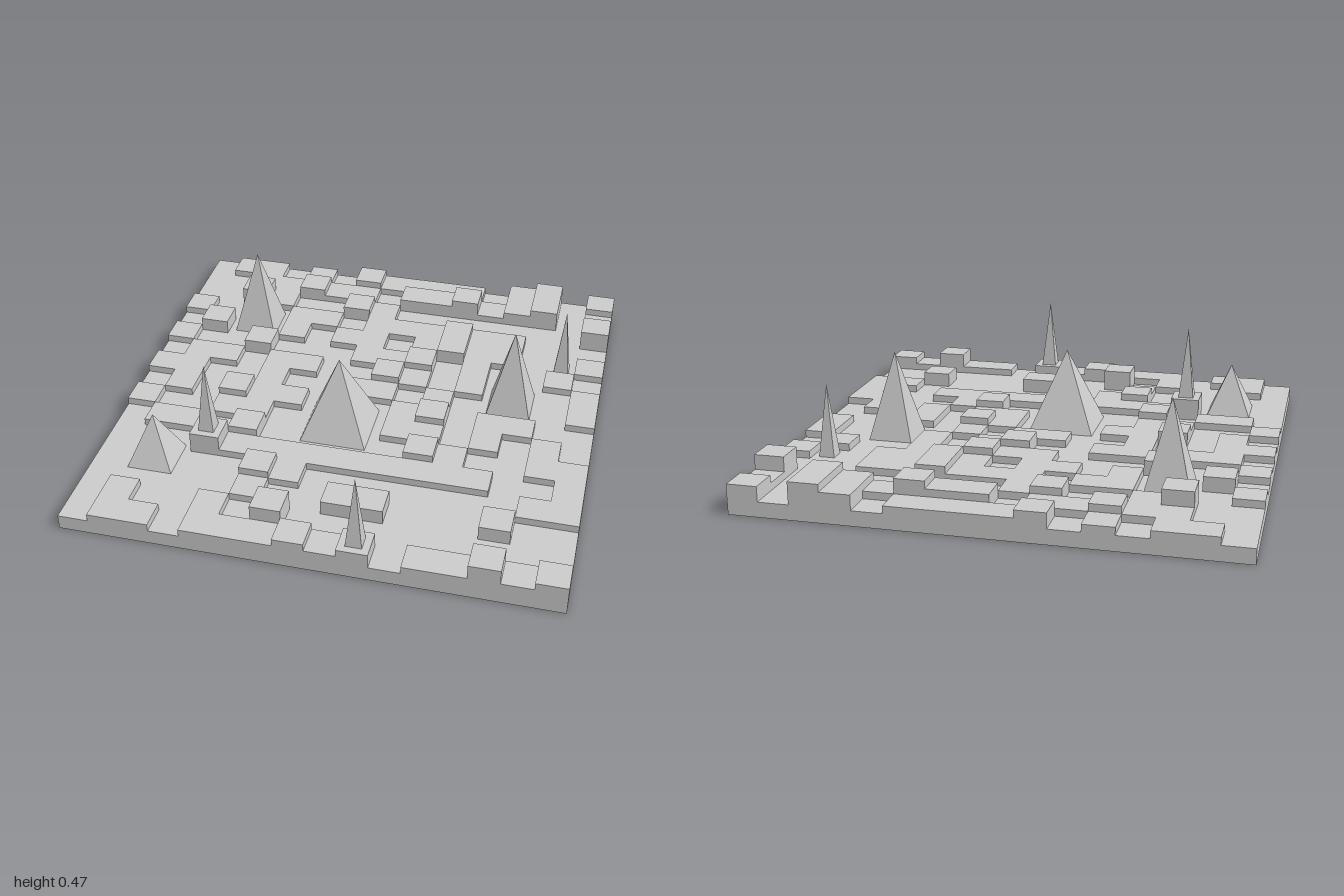
import * as THREE from 'three';

const N = 16, CELL = 2 / N, STEP = 1 / 32;

// Height of each cell in steps; first row is the back edge, first digit is x = -1
const HEIGHTS = [
  '2332324333324524',
  '2233433244534523',
  '2253224322222225',
  '3222332333433222',
  '2422323323433223',
  '3224222334232232',
  '2332332243232223',
  '3322322332322223',
  '2324332223423322',
  '3223322223323232',
  '2332422222432233',
  '2225333333333223',
  '2222243222222233',
  '2222232244222422',
  '2322325222222222',
  '2332333434233534',
];

const heightAt = (col, row) =>
  col < 0 || row < 0 || col >= N || row >= N ? 0 : Number(HEIGHTS[row][col]) * STEP;

// Open-bottomed shell: one top per cell and a wall wherever the height drops
function terrainGeometry() {
  const pos = [];
  const quad = (a, b, c, d) => pos.push(...a, ...b, ...c, ...a, ...c, ...d);
  for (let row = 0; row < N; row++) {
    for (let col = 0; col < N; col++) {
      const x0 = -1 + col * CELL, x1 = x0 + CELL;
      const z0 = -1 + row * CELL, z1 = z0 + CELL;
      const h = heightAt(col, row);
      quad([x0, h, z0], [x0, h, z1], [x1, h, z1], [x1, h, z0]);
      // Lower edge runs left to right as seen from outside the cell
      const walls = [
        [0, 1, x0, z1, x1, z1], [0, -1, x1, z0, x0, z0],
        [1, 0, x1, z1, x1, z0], [-1, 0, x0, z0, x0, z1],
      ];
      for (const [dx, dz, ax, az, bx, bz] of walls) {
        const low = heightAt(col + dx, row + dz);
        if (low < h) quad([ax, low, az], [bx, low, bz], [bx, h, bz], [ax, h, az]);
      }
    }
  }
  const geometry = new THREE.BufferGeometry();
  geometry.setAttribute('position', new THREE.Float32BufferAttribute(pos, 3));
  geometry.computeVertexNormals();
  return geometry;
}

// Square pyramid standing at height base
function pyramid(name, x, z, half, base, apex, material) {
  const height = apex - base;
  const geometry = new THREE.ConeGeometry(half * Math.SQRT2, height, 4, 1, true);
  geometry.rotateY(Math.PI / 4);
  const mesh = new THREE.Mesh(geometry, material);
  mesh.position.set(x, base + height / 2, z);
  mesh.name = name;
  return mesh;
}

export function createModel() {
  const group = new THREE.Group();
  group.name = 'steppedTerrain';
  const material = new THREE.MeshStandardMaterial({
    color: 0xcccccc, flatShading: true, side: THREE.DoubleSide,
  });

  const terrain = new THREE.Mesh(terrainGeometry(), material);
  terrain.name = 'terrain';
  group.add(terrain);

  // Broad pyramids and thin spires: x, z, half width, base, apex
  const pyramids = [
    ['backLeftPyramid', -0.625, -0.5, 0.094, 0.0625, 0.437],
    ['rightPyramid', 0.625, -0.125, 0.094, 0.0625, 0.437],
    ['centrePyramid', -0.0625, 0.1875, 0.14, 0.0625, 0.406],
    ['frontLeftPyramid', -0.75, 0.5625, 0.094, 0.0625, 0.281],
    ['leftSpire', -0.5625, 0.4375, 0.033, 0.156, 0.469],
    ['backSpire', 0.8125, -0.4375, 0.033, 0.0625, 0.37],
    ['frontSpire', 0.1875, 0.9375, 0.033, 0.125, 0.435],
  ];
  for (const p of pyramids) group.add(pyramid(...p, material));
  return group;
}
